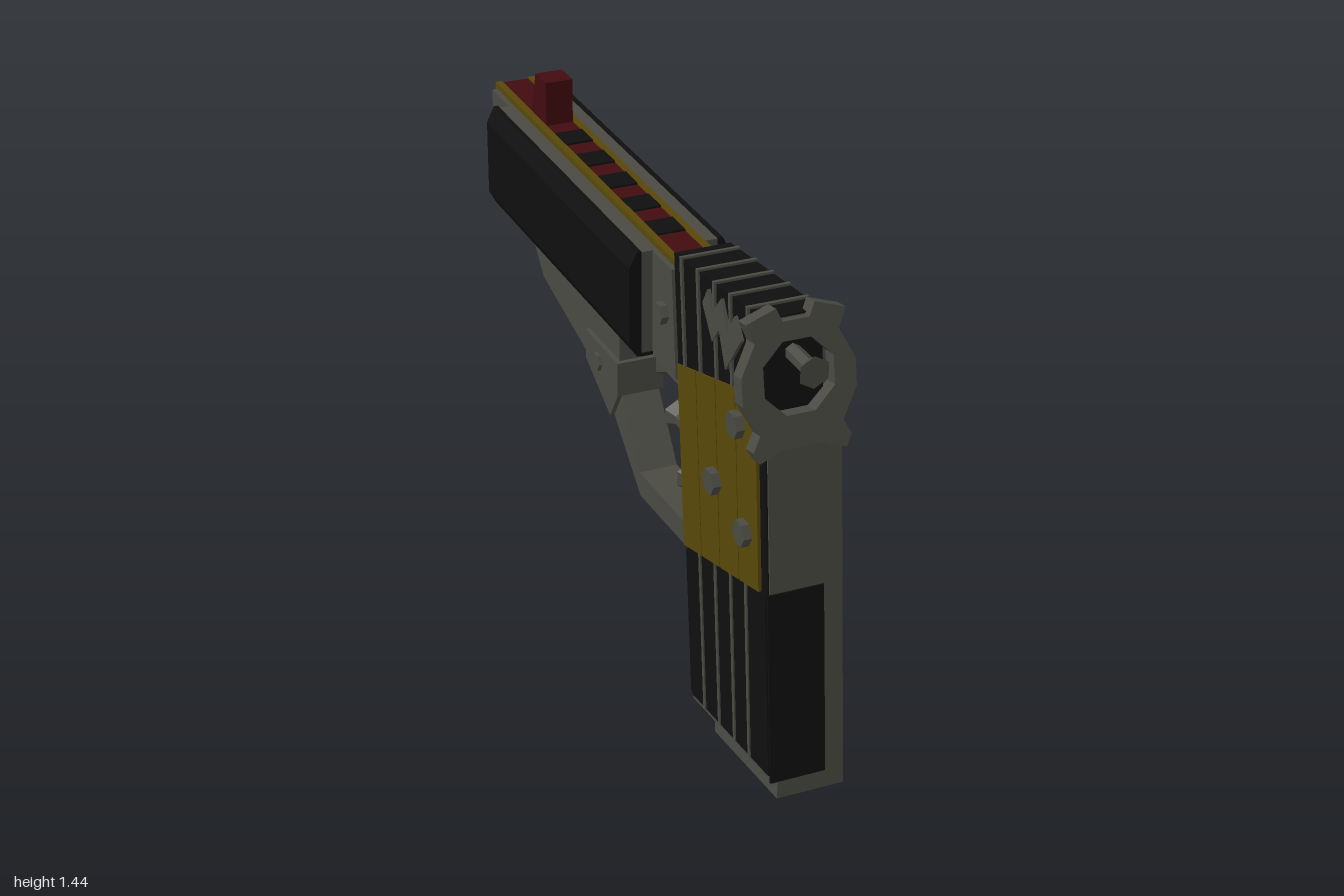
import * as THREE from 'three';

const mat = (name, color) => {
  const m = new THREE.MeshStandardMaterial({ color });
  m.name = name;
  return m;
};

export function createModel() {
  const root = new THREE.Group();
  root.name = 'steppedBlaster';
  const gray = mat('olive gray', 0x4a4a43), black = mat('black', 0x0f0f10);
  const red = mat('dark red', 0x420b0f), gold = mat('dark gold', 0x584709);
  const CX = -0.01; // centre plane of barrel and rods

  const add = (name, geo, m, parent = root) => {
    const mesh = new THREE.Mesh(geo, m);
    mesh.name = name;
    parent.add(mesh);
    return mesh;
  };
  const shapeOf = pts => new THREE.Shape(pts.map(p => new THREE.Vector2(p[0], p[1])));
  // Side outline in [z, y], extruded between two x positions
  const prism = (pts, x0, x1) => {
    const g = new THREE.ExtrudeGeometry(shapeOf(pts), { depth: x1 - x0, bevelEnabled: false });
    return g.rotateY(-Math.PI / 2).translate(x1, 0, 0);
  };
  // Cross-section in [x, y], extruded between two z positions
  const along = (pts, z0, z1) =>
    new THREE.ExtrudeGeometry(shapeOf(pts), { depth: z1 - z0, bevelEnabled: false }).translate(0, 0, z0);
  const box = (x0, x1, y0, y1, z0, z1) =>
    new THREE.BoxGeometry(x1 - x0, y1 - y0, z1 - z0).translate((x0 + x1) / 2, (y0 + y1) / 2, (z0 + z1) / 2);
  const flat = g => {
    const n = g.toNonIndexed();
    n.computeVertexNormals();
    return n;
  };
  // Hexagonal bolt across x
  const bolt = (x, y, z, len, r = 0.03) =>
    add('bolt', flat(new THREE.CylinderGeometry(r, r, len, 6)).rotateZ(Math.PI / 2).translate(x, y, z), gray);

  // Grip: leaning block, u runs from its front edge (0) to its rear edge (1)
  const zAt = (u, y) => {
    const f = 0.345 + (1.345 - y) * 0.0988, r = 0.87 + (1.4 - y) * 0.0787;
    return f + (r - f) * u;
  };
  const at = (u, y) => [zAt(u, y), y];
  const topY = u => 1.345 + 0.055 * u, botY = u => 0.08 + 0.05 * u;
  const lowY = u => 0.54 + 0.13 * u, highY = u => 1.05 + 0.15 * u;
  const panel = (u0, u1, yLow, yHigh) =>
    [at(u0, yLow(u0)), at(u1, yLow(u1)), at(u1, yHigh(u1)), at(u0, yHigh(u0))];
  add('gripBody', prism(panel(0, 1, botY, topY), -0.077, 0.07), gray);

  // Side, front, rear and top cladding of the grip
  add('lowerGripPanel', prism(panel(0.03, 0.98, u => botY(u) + 0.02, lowY), -0.085, -0.076), black);
  add('upperGripPanel', prism(panel(0, 1, highY, topY), -0.085, -0.076), black);
  add('middleGripPanel', prism(panel(0, 0.99, lowY, highY), -0.081, -0.076), black);
  add('lowerRearPanel', prism(panel(0.995, 1.008, u => 0.135, u => 0.67), -0.085, 0.069), black);
  add('lowerFrontPanel', prism(panel(-0.012, 0.01, u => 0.1, u => 0.52), -0.08, 0.06), black);
  add('upperRearPanel', prism(panel(0.995, 1.008, u => 1.13, u => 1.39), -0.085, 0.069), black);
  add('topPanel', prism(panel(0, 1, u => topY(u) - 0.005, u => topY(u) + 0.004), -0.085, 0.07), black);
  for (const u of [0.1, 0.29, 0.48, 0.66, 0.85]) {
    const a = u - 0.012, b = u + 0.012;
    add('topRib', prism(panel(a, b, u => topY(u) - 0.01, u => topY(u) + 0.01), -0.091, 0.072), gray);
    add('upperSideRib', prism(panel(a, b, highY, topY), -0.091, -0.08), gray);
    if (u < 0.8) add('lowerSideRib', prism(panel(a + 0.1, b + 0.1, u => botY(u) + 0.02, lowY), -0.089, -0.08), gray);
  }
  for (let i = 0; i < 4; i++)
    add('goldStrip', prism(panel(i * 0.23 + 0.01, i * 0.23 + 0.232, lowY, highY), -0.09, -0.08), gold);
  for (const [z, y] of [[0.76, 1.07], [0.625, 0.84], [0.81, 0.79]]) bolt(-0.09, y, z, 0.045, 0.036);
  add('zigzagPlate', prism([[0.54, 1.3], [0.6, 1.22], [0.64, 1.27], [0.68, 1.18], [0.77, 1.3],
    [0.73, 1.35], [0.69, 1.29], [0.65, 1.36], [0.6, 1.3], [0.57, 1.35]], -0.094, -0.085), gray);

  // Thick side slab with a sloping top
  const slab = prism([[0.53, 0], [0.92, 0.04], [0.82, 1.35], [0.4, 1.31]], -0.04, 0.15);
  const p = slab.attributes.position;
  for (let i = 0; i < p.count; i++) {
    if (p.getY(i) < 1) continue;
    if (p.getX(i) > 0.1) p.setY(i, p.getY(i) - 0.05);
    else p.setX(i, 0.06);
  }
  slab.computeVertexNormals();
  add('sideSlab', slab, gray);

  // Barrel: red core, gold layers, gray cheeks
  const barrel = (inset, zFront) => [[zFront, 0.98 + inset], [zFront, 1.31 - inset],
    [0.345 - inset, 1.31 - inset], [0.375 - inset, 0.98 + inset]];
  add('barrelCore', prism(barrel(0.003, -0.995), CX - 0.046, CX + 0.046), red);
  add('muzzle', box(CX - 0.036, CX + 0.036, 1.14, 1.285, -1, -0.99), black);
  for (const s of [-1, 1]) {
    const side = (a, b) => s > 0 ? [CX + a, CX + b] : [CX - b, CX - a];
    add('goldLayer', prism(barrel(0, -1), ...side(0.04, 0.06)), gold);
    add('cheekPlate', prism(barrel(0.016, -0.985), ...side(0.055, 0.075)), gray);
    add('cheekBlock', box(...side(0.07, 0.112), 1.005, 1.295, -0.845, 0.205), gray);
    const cover = [[0.108, 1], [0.12, 1], [0.142, 1.04], [0.142, 1.255], [0.12, 1.3], [0.108, 1.3]];
    add('blackCover', along(cover.map(([x, y]) => [CX + s * x, y]), -0.85, 0.21), black);
    add('coverUnderside', box(...side(0.07, 0.11), 0.998, 1.006, -0.85, 0.21), black);
    for (const z of [-0.925, 0.285]) bolt(CX + s * 0.08, 1.155, z, 0.03);
  }
  for (let i = 0; i < 6; i++) {
    const z = -0.69 + i * 0.16;
    add('topInset', box(CX - 0.04, CX + 0.04, 1.3, 1.312, z - 0.042, z + 0.042), black);
  }
  add('sight', prism([[-0.64, 1.3], [-0.755, 1.3], [-0.72, 1.435], [-0.64, 1.435]], CX - 0.04, CX + 0.04), red);

  // Lower frame with trigger guard
  add('lowerFrame', prism([[-0.07, 1], [-0.74, 1], [-0.74, 0.945], [-0.645, 0.84], [-0.29, 0.75],
    [-0.11, 0.655], [0.075, 0.495], [0.45, 0.51], [0.44, 0.575], [0.07, 0.565], [-0.055, 0.74], [-0.07, 0.84]],
  CX - 0.055, CX + 0.055), gray);
  add('frameCollar', prism([[-0.055, 0.84], [-0.285, 0.84], [-0.285, 0.75], [-0.11, 0.655], [-0.055, 0.74]],
    CX - 0.068, CX + 0.068), gray);
  for (const s of [-1, 1]) bolt(CX + s * 0.068, 0.785, -0.19, 0.02, 0.026);

  // Flared rods: three triggers and the rear hammer
  const rod = (name, y, zBase, zTip) => {
    const len = Math.abs(zTip - zBase), g = new THREE.Group();
    g.name = name;
    add('shaft', flat(new THREE.CylinderGeometry(0.022, 0.022, len - 0.01, 6)).translate(0, (len - 0.01) / 2, 0), gray, g);
    add('flaredTip', flat(new THREE.CylinderGeometry(0.043, 0.022, 0.03, 6)).translate(0, len - 0.015, 0), gray, g);
    g.rotation.x = Math.sign(zTip - zBase) * Math.PI / 2;
    g.position.set(CX, y, zBase);
    root.add(g);
  };
  rod('upperTrigger', 0.925, 0.45, 0.14);
  rod('middleTrigger', 0.8, 0.45, 0.2);
  rod('lowerTrigger', 0.655, 0.46, 0.285);
  rod('hammer', 1.31, 0.85, 1);

  // Notched ring at the rear, leaning with the grip
  const half = [[0.035, 0.152], [0.05, 0.187], [0.13, 0.16], [0.11, 0.11], [0.15, 0.03], [0.15, -0.04],
    [0.11, -0.12], [0.13, -0.16], [0.115, -0.19], [0.05, -0.167]];
  const ringShape = shapeOf([...half, ...half.slice().reverse().map(([x, y]) => [-x, y])]);
  const hole = [];
  for (let i = 0; i < 8; i++) {
    const a = (i + 0.5) * Math.PI / 4;
    hole.push(new THREE.Vector2(Math.cos(a) * 0.1, Math.sin(a) * 0.1 + 0.01));
  }
  ringShape.holes.push(new THREE.Path(hole));
  const ring = add('notchedRing', new THREE.ExtrudeGeometry(ringShape, { depth: 0.045, bevelEnabled: false })
    .translate(0, 0, -0.0225), gray);
  ring.position.set(CX, 1.248, 0.9);
  ring.rotation.x = -0.18;
  return root;
}
